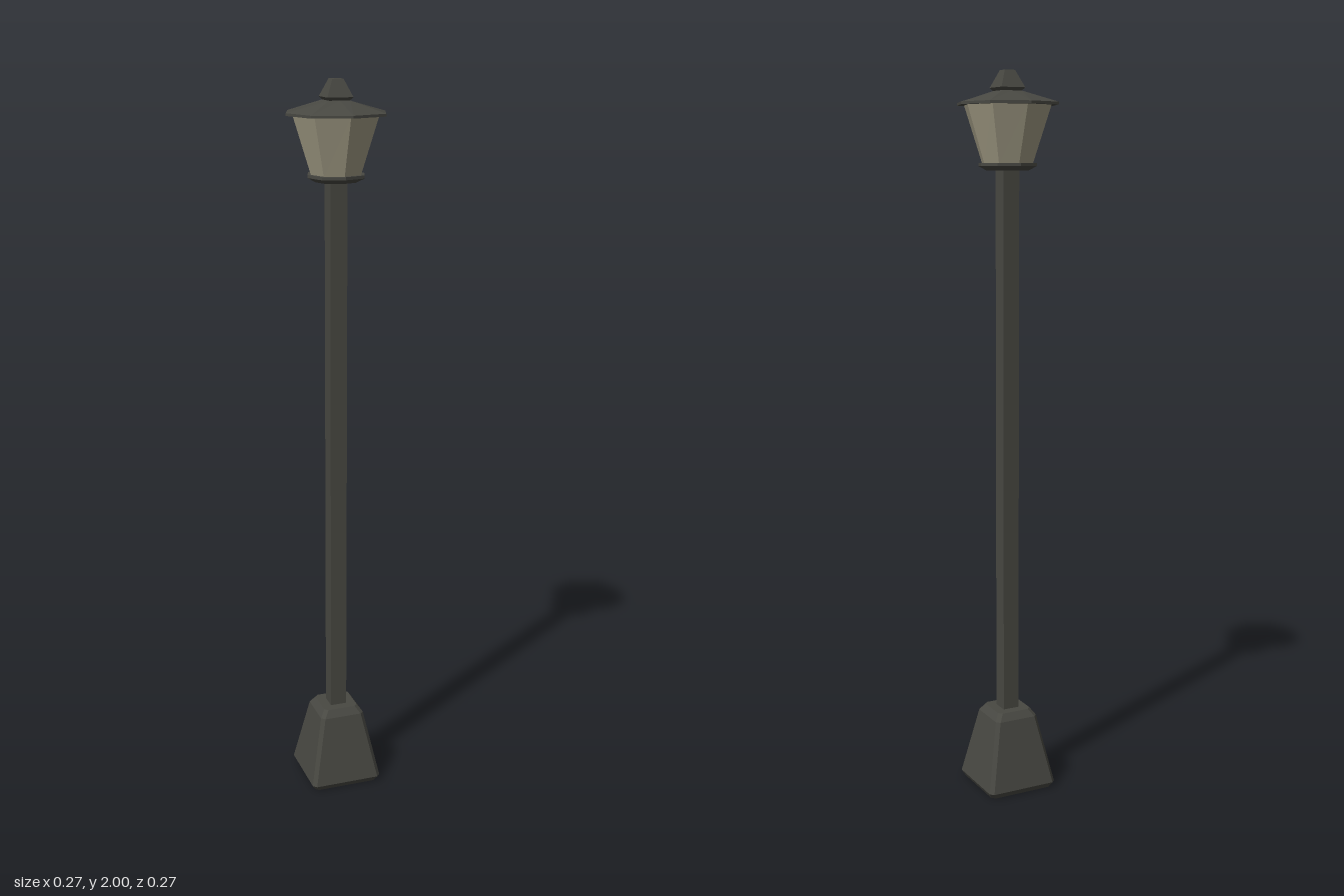
import * as THREE from 'three';

// Rings have four-fold symmetry: one quarter is turned three times about y.
function ring(y, quarter) {
  const pts = [];
  for (let k = 0; k < 4; k++) {
    for (const [x, z] of quarter) {
      let p = [x, z];
      for (let i = 0; i < k; i++) p = [p[1], -p[0]];
      pts.push(new THREE.Vector3(p[0], y, p[1]));
    }
  }
  return pts;
}
const square = (y, h) => ring(y, [[h, h]]);
const chamfered = (y, h, c) => ring(y, [[h - c, h], [h, h - c]]);
const octagon = (y, axis, corner) => ring(y, [[0, axis], [corner, corner]]);

// Flat-shaded closed solid through rings listed from bottom to top.
function loft(rings) {
  const v = [];
  const tri = (...p) => p.forEach((q) => v.push(q.x, q.y, q.z));
  const n = rings[0].length;
  const low = rings[0];
  const high = rings[rings.length - 1];
  const lowMid = new THREE.Vector3(0, low[0].y, 0);
  const highMid = new THREE.Vector3(0, high[0].y, 0);
  for (let i = 0; i < n; i++) {
    const j = (i + 1) % n;
    for (let r = 0; r < rings.length - 1; r++) {
      const a = rings[r];
      const b = rings[r + 1];
      tri(a[i], a[j], b[j]);
      tri(a[i], b[j], b[i]);
    }
    tri(lowMid, low[j], low[i]);
    tri(highMid, high[i], high[j]);
  }
  const g = new THREE.BufferGeometry();
  g.setAttribute('position', new THREE.Float32BufferAttribute(v, 3));
  g.computeVertexNormals();
  return g;
}

export function createModel() {
  const metal = new THREE.MeshStandardMaterial({ color: 0x484842 });
  metal.name = 'dark metal';
  const glass = new THREE.MeshStandardMaterial({ color: 0xa39d86 });
  glass.name = 'frosted glass';

  const model = new THREE.Group();
  model.name = 'streetLamp';
  const add = (name, geometry, material) => {
    const mesh = new THREE.Mesh(geometry, material);
    mesh.name = name;
    model.add(mesh);
  };

  // Tapered foot with softened edges
  add('base', loft([
    chamfered(0, 0.094, 0.01),
    chamfered(0.016, 0.103, 0.01),
    chamfered(0.21, 0.064, 0.01),
    chamfered(0.23, 0.05, 0.01),
  ]), metal);

  // Square post
  const post = new THREE.BoxGeometry(0.047, 1.53, 0.047);
  post.translate(0, 0.985, 0);
  add('post', post, metal);

  // Flared collar below the lantern
  add('collar', loft([
    octagon(1.74, 0.055, 0.041),
    octagon(1.752, 0.078, 0.058),
    octagon(1.76, 0.078, 0.058),
  ]), metal);

  // Eight-sided lantern, widening upwards
  add('lanternGlass', loft([
    octagon(1.757, 0.068, 0.05),
    octagon(1.914, 0.118, 0.087),
  ]), glass);

  // Shallow roof, octagonal rim rising to a square
  add('roof', loft([
    octagon(1.91, 0.135, 0.1),
    octagon(1.917, 0.135, 0.1),
    octagon(1.947, 0.028, 0.028),
  ]), metal);

  // Small square cap on the roof
  add('finial', loft([
    square(1.944, 0.026),
    square(1.955, 0.035),
    square(2.0, 0.015),
  ]), metal);

  return model;
}
